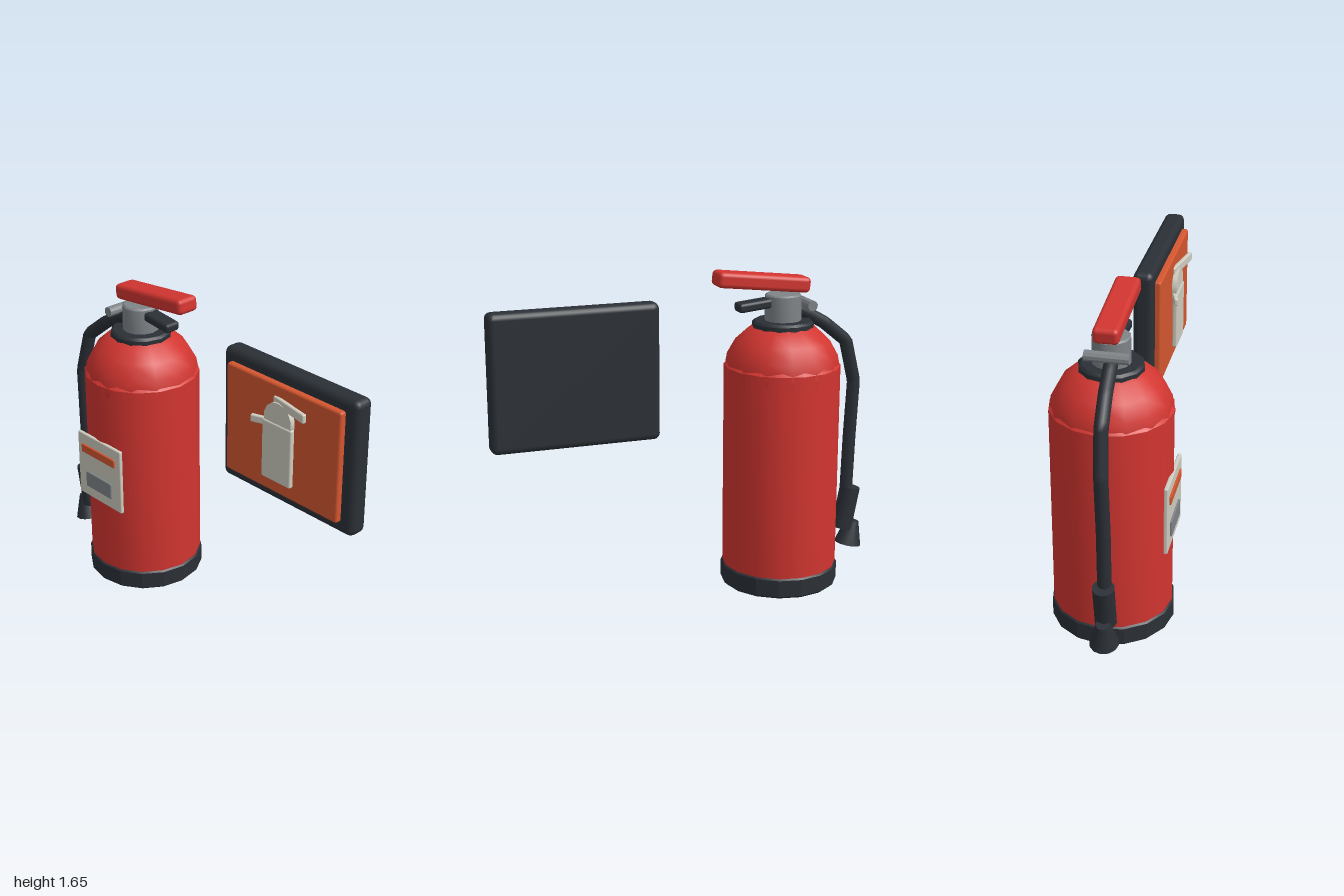
import * as THREE from 'three';
import { toCreasedNormals } from 'three/addons/utils/BufferGeometryUtils.js';
import { RoundedBoxGeometry } from 'three/addons/geometries/RoundedBoxGeometry.js';

const mat = (color) => new THREE.MeshStandardMaterial({ color, roughness: 0.7 });
const V = (x, y, z) => new THREE.Vector3(x, y, z);

export function createModel() {
  const model = new THREE.Group();
  model.name = 'extinguisherAndSign';
  const red = mat(0xd23530), dark = mat(0x2b3036), steel = mat(0x7f8488);
  const cream = mat(0xcfccc0), orange = mat(0xd4562f);
  const cx = -0.505, cz = -0.004;

  const add = (name, geometry, material, x = 0, y = 0, z = 0) => {
    const mesh = new THREE.Mesh(geometry, material);
    mesh.name = name;
    mesh.position.set(x, y, z);
    model.add(mesh);
    return mesh;
  };
  // bevelled box, centred
  const box = (name, material, [w, h, d], [x, y, z], bevel = 0.01) =>
    add(name, new RoundedBoxGeometry(w, h, d, 2, bevel), material, x, y, z);
  // cylinder with bevelled rims, standing on y0
  const drum = (name, material, r, y0, y1, bevel, sides, crease = 0.6) => {
    const pts = [[0, y0], [r - bevel, y0], [r, y0 + bevel], [r, y1 - bevel], [r - bevel, y1], [0, y1]];
    const g = new THREE.LatheGeometry(pts.map(([a, b]) => new THREE.Vector2(a, b)), sides);
    return add(name, toCreasedNormals(g, crease), material, cx, 0, cz);
  };
  // tapered rod between two points
  const rod = (name, material, a, b, ra, rb, sides = 12) => {
    const dir = b.clone().sub(a);
    const g = toCreasedNormals(new THREE.CylinderGeometry(rb, ra, dir.length(), sides), 0.6);
    const mesh = add(name, g, material);
    mesh.position.copy(a).add(b).multiplyScalar(0.5);
    mesh.quaternion.setFromUnitVectors(V(0, 1, 0), dir.normalize());
    return mesh;
  };

  // tank
  drum('baseRing', dark, 0.302, 0, 0.11, 0.012, 16, 0.3);
  drum('tank', red, 0.294, 0.08, 1.175, 0.02, 16);
  const dome = add('dome', new THREE.SphereGeometry(0.293, 14, 10), red, cx, 1.125, cz);
  dome.scale.y = 0.91;
  drum('collar', dark, 0.155, 1.335, 1.382, 0.012, 12);
  drum('valve', steel, 0.092, 1.34, 1.515, 0.008, 12);

  // handle and levers
  box('carryHandle', red, [0.492, 0.078, 0.122], [-0.387, 1.583, -0.003], 0.022).rotation.z = 0.115;
  box('lowerLever', dark, [0.19, 0.048, 0.085], [-0.351, 1.467, -0.003], 0.016).rotation.z = -0.1;
  rod('safetyPin', steel, V(-0.625, 1.46, -0.1), V(-0.625, 1.46, 0.108), 0.026, 0.026, 10);

  // hose in straight runs with mitred bends
  const hose = new THREE.CurvePath();
  const bends = [V(-0.56, 1.44, 0.015), V(-0.64, 1.405, 0.02), V(-0.745, 1.345, 0.025),
    V(-0.875, 1.24, 0.035), V(-0.932, 1.02, 0.045), V(-0.92, 0.72, 0.05), V(-0.91, 0.4, 0.05)];
  for (let i = 1; i < bends.length; i++) hose.add(new THREE.LineCurve3(bends[i - 1], bends[i]));
  add('hose', new THREE.TubeGeometry(hose, 48, 0.034, 10), dark);
  rod('nozzleGrip', dark, V(-0.935, 0.438, 0.05), V(-0.892, 0.215, 0.05), 0.053, 0.053);
  rod('nozzleHorn', dark, V(-0.955, 0.245, 0.05), V(-0.93, 0.12, 0.05), 0.034, 0.071);

  // tank label
  box('label', cream, [0.336, 0.358, 0.02], [-0.507, 0.66, 0.286], 0.006);
  box('labelStripe', orange, [0.26, 0.046, 0.016], [-0.509, 0.757, 0.297], 0.005);
  box('labelPanel', steel, [0.2, 0.088, 0.016], [-0.51, 0.585, 0.297], 0.005);

  // wall sign
  box('signFrame', dark, [0.845, 0.685, 0.104], [0.5775, 1.178, -0.003], 0.032);
  box('signPanel', orange, [0.722, 0.562, 0.045], [0.571, 1.18, 0.057], 0.012);

  // raised symbol on the sign
  box('symbolBody', cream, [0.186, 0.3, 0.026], [0.572, 1.13, 0.098], 0.008);
  rod('symbolDome', cream, V(0.572, 1.3, 0.07), V(0.572, 1.3, 0.105), 0.087, 0.087, 14);
  const handle = box('symbolHandle', cream, [0.236, 0.045, 0.022], [0.642, 1.382, 0.1], 0.007);
  handle.rotation.y = -0.2;
  const nozzle = box('symbolNozzle', cream, [0.125, 0.038, 0.022], [0.475, 1.265, 0.098], 0.007);
  nozzle.rotation.y = 0.33;

  return model;
}
